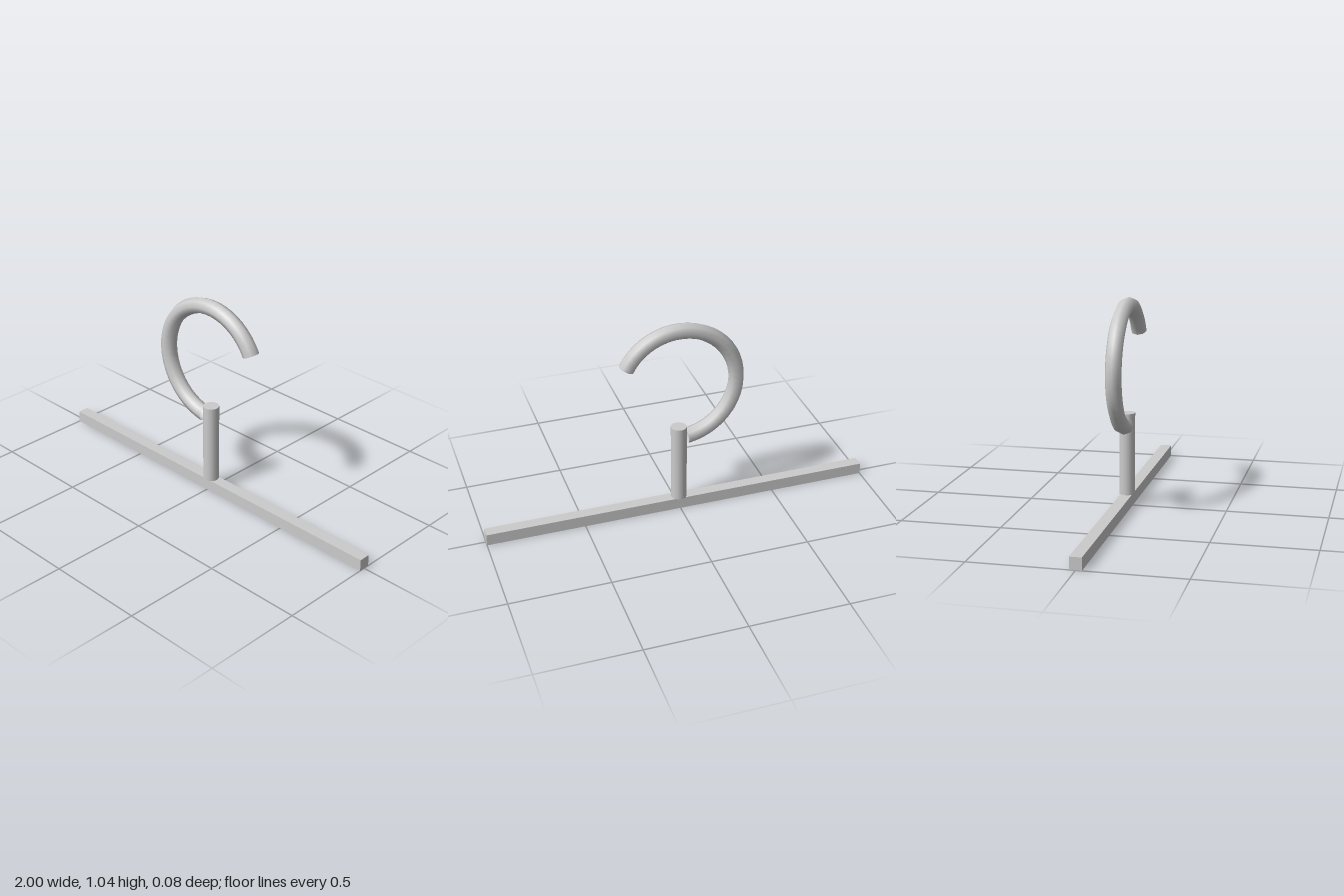
import * as THREE from 'three';

export function createModel() {
  const group = new THREE.Group();
  const solid = new THREE.MeshStandardMaterial({ color: 0xcccccc });
  const open = new THREE.MeshStandardMaterial({ color: 0xcccccc, side: THREE.DoubleSide });

  const add = (name, geometry, y, material = solid) => {
    const mesh = new THREE.Mesh(geometry, material);
    mesh.name = name;
    mesh.position.y = y;
    group.add(mesh);
    return mesh;
  };

  // Long square bar at the bottom
  const barHeight = 0.06;
  add('bar', new THREE.BoxGeometry(2, barHeight, 0.058), barHeight / 2);

  // Upright post standing on the bar
  const postHeight = 0.412;
  add('post', new THREE.CylinderGeometry(0.04, 0.04, postHeight, 16), barHeight + postHeight / 2);

  // Open-ended hook, running from the tip over the top and round to the post
  const tipAngle = THREE.MathUtils.degToRad(27);
  const arc = THREE.MathUtils.degToRad(235);
  const hook = add('hook', new THREE.TorusGeometry(0.296, 0.04, 8, 32, arc), 0.706, open);
  hook.rotation.z = tipAngle;

  return group;
}
